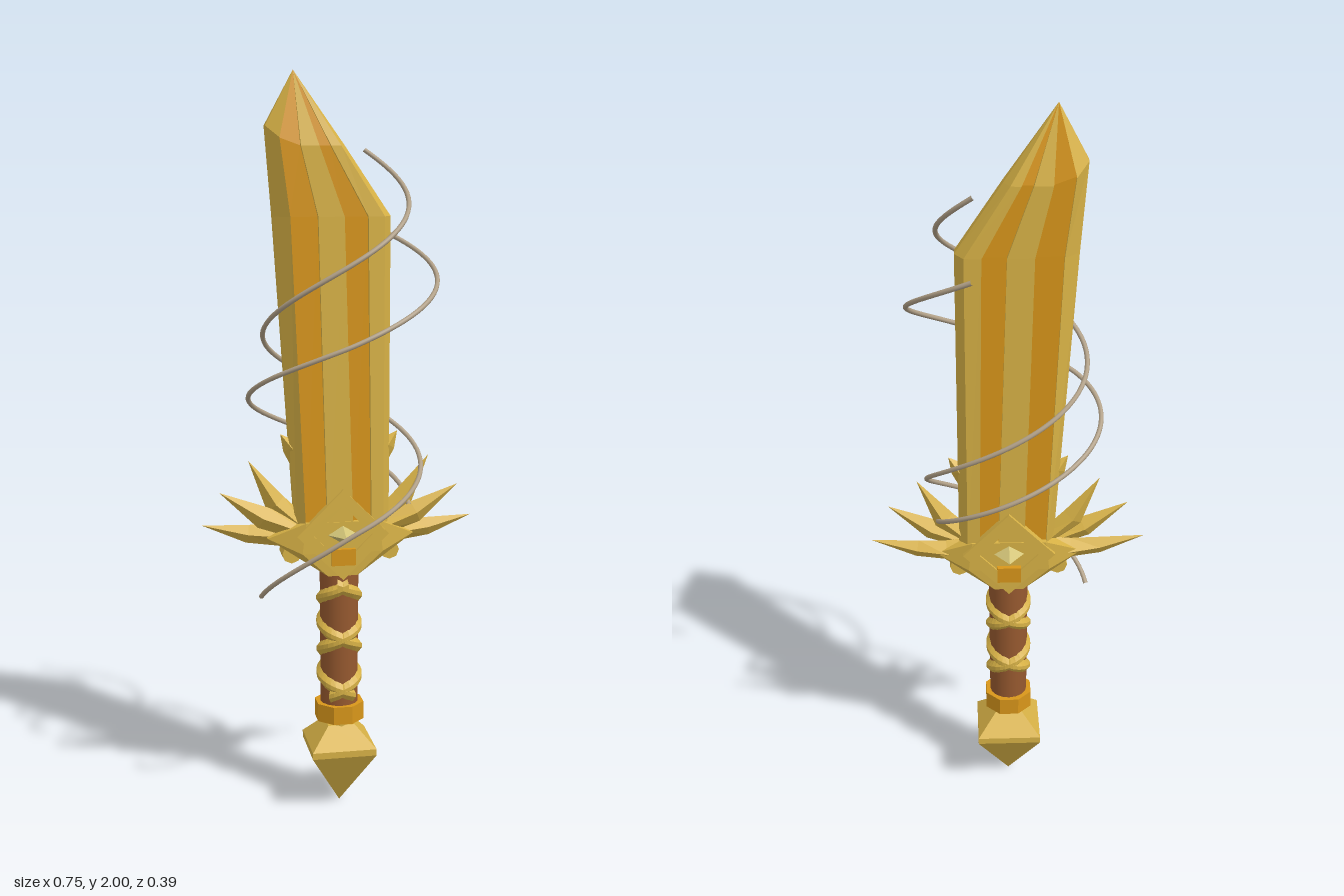
import * as THREE from 'three';
import { ConvexGeometry } from 'three/addons/geometries/ConvexGeometry.js';

const V = (x, y, z) => new THREE.Vector3(x, y, z);
const ZC = -0.012; // depth centre of the sword

// Faceted copy of a geometry
function facet(g) {
  const f = g.index ? g.toNonIndexed() : g;
  f.computeVertexNormals();
  return f;
}

// Flat-shaded geometry from a list of quads (four points each)
function fromQuads(quads) {
  const p = [];
  for (const [a, b, c, d] of quads) for (const v of [a, b, c, a, c, d]) p.push(v.x, v.y, v.z);
  const g = new THREE.BufferGeometry();
  g.setAttribute('position', new THREE.Float32BufferAttribute(p, 3));
  g.computeVertexNormals();
  return g;
}

// Skin over closed rings of equal size, counter-clockwise about the path
function loft(rings) {
  const quads = [], n = rings[0].length;
  for (let r = 0; r < rings.length - 1; r++)
    for (let k = 0; k < n; k++) {
      const m = (k + 1) % n;
      quads.push([rings[r][k], rings[r][m], rings[r + 1][m], rings[r + 1][k]]);
    }
  return fromQuads(quads);
}

// Diamond-section spike along a path of [x, y, half width, half depth]
function spikeGeometry(path, side, z) {
  const pts = path.map(([x, y]) => V(side * x, y, z));
  return loft(path.map(([, , w, t], i) => {
    const dir = pts[Math.min(i + 1, pts.length - 1)].clone().sub(pts[Math.max(i - 1, 0)]).normalize();
    const n = V(-dir.y, dir.x, 0);
    return [V(n.x * w, n.y * w, 0), V(0, 0, t), V(-n.x * w, -n.y * w, 0), V(0, 0, -t)].map(o => o.add(pts[i]));
  }));
}

// Ridged ribbon wound round the grip; dir +1 or -1 sets the hand
function wrapGeometry(dir) {
  const rings = [];
  for (let i = 0; i <= 56; i++) {
    const y = 0.325 + 0.315 * i / 56, a = dir * (y - 0.34) / 0.147 * Math.PI * 2;
    const ring = [[0.049, -0.024], [0.063, -0.006], [0.063, 0.006], [0.049, 0.024]]
      .map(([r, h]) => V(r * Math.sin(a), y + h, ZC + r * Math.cos(a)));
    rings.push(dir > 0 ? ring.reverse() : ring);
  }
  return loft(rings);
}

// Thin tube following at(t)
function vineGeometry(at) {
  const pts = [];
  for (let i = 0; i <= 60; i++) pts.push(at(i / 60));
  return new THREE.TubeGeometry(new THREE.CatmullRomCurve3(pts), 120, 0.0065, 8);
}

export function createModel() {
  const group = new THREE.Group();
  const material = (name, color) => {
    const m = new THREE.MeshStandardMaterial({ color });
    m.name = name;
    return m;
  };
  const gold = material('gold', 0xd8b246);
  const amber = material('amber', 0xd8961a);
  const leather = material('leather', 0x96592f);
  const vine = material('vine', 0xb3a289);
  const paleGold = material('paleGold', 0xd2c478);
  const add = (name, geometry, mat, x = 0, y = 0, z = 0) => {
    const mesh = new THREE.Mesh(geometry, mat);
    mesh.name = name;
    mesh.position.set(x, y, z);
    group.add(mesh);
    return mesh;
  };

  // Blade columns: x at guard, kink and shoulder, shoulder height, half depth
  const columns = [
    [-0.12, -0.177, -0.195, 1.86, 0.014],
    [-0.098, -0.137, -0.163, 1.83, 0.055],
    [-0.098, -0.137, -0.163, 1.83, 0.043],
    [-0.04, -0.064, -0.108, 1.81, 0.043],
    [-0.04, -0.064, -0.108, 1.81, 0.055],
    [0.03, 0.005, -0.06, 1.81, 0.055],
    [0.03, 0.005, -0.06, 1.81, 0.043],
    [0.08, 0.068, -0.03, 1.81, 0.043],
    [0.08, 0.068, -0.03, 1.81, 0.055],
    [0.112, 0.112, -0.003, 1.81, 0.052],
    [0.135, 0.135, 0.013, 1.81, 0.014],
  ];
  const at = (r, c, s) => {
    const [x0, x1, x2, y2, d] = columns[c];
    return V([x0, x1, x2, -0.12][r], [0.76, 1.63, y2, 2][r], ZC + s * d * [1, 1, 0.93, 0][r]);
  };
  const goldQuads = [], amberQuads = [], last = columns.length - 1;
  for (let r = 0; r < 3; r++) {
    for (let c = 0; c < last; c++) {
      const list = c === 2 || c === 6 ? amberQuads : goldQuads;
      list.push([at(r, c, 1), at(r, c + 1, 1), at(r + 1, c + 1, 1), at(r + 1, c, 1)]);
      list.push([at(r, c + 1, -1), at(r, c, -1), at(r + 1, c, -1), at(r + 1, c + 1, -1)]);
    }
    goldQuads.push([at(r, last, 1), at(r, last, -1), at(r + 1, last, -1), at(r + 1, last, 1)]);
    goldQuads.push([at(r, 0, -1), at(r, 0, 1), at(r + 1, 0, 1), at(r + 1, 0, -1)]);
  }
  add('blade', fromQuads(goldQuads), gold);
  add('bladeFullers', fromQuads(amberQuads), amber);

  // Guard core
  const core = [];
  for (const s of [-1, 1])
    for (const z of [-1, 1])
      core.push(V(s * 0.11, 0.735, z * 0.058), V(s * 0.1, 0.82, z * 0.058), V(s * 0.2, 0.775, z * 0.028), V(s * 0.04, 0.67, z * 0.055));
  add('guardCore', facet(new ConvexGeometry(core)), gold, 0, 0, ZC);

  // Diamond frame with an open middle
  const diamond = (Shape, w, h) => {
    const s = new Shape();
    s.moveTo(0, -h); s.lineTo(w, 0); s.lineTo(0, h); s.lineTo(-w, 0); s.closePath();
    return s;
  };
  const frame = diamond(THREE.Shape, 0.125, 0.125);
  frame.holes.push(diamond(THREE.Path, 0.08, 0.08));
  add('guardFrame', new THREE.ExtrudeGeometry(frame, { depth: 0.13, bevelEnabled: false }), gold, 0, 0.785, ZC - 0.065);

  // Gem and the amber block beneath it
  const gem = add('gem', new THREE.OctahedronGeometry(1, 0), paleGold, 0, 0.785, ZC);
  gem.scale.set(0.085, 0.052, 0.111);
  add('guardBlock', new THREE.BoxGeometry(0.065, 0.045, 0.145), amber, 0, 0.725, ZC);

  // Guard spikes, scrolls and blade barbs, mirrored
  for (const s of [-1, 1]) {
    const side = s > 0 ? 'left' : 'right';
    add(side + 'LongSpike', spikeGeometry([[0.08, 0.785, 0.03, 0.03], [0.17, 0.775, 0.03, 0.028], [0.25, 0.782, 0.025, 0.018], [0.373, 0.81, 0, 0]], s, -0.024), gold);
    add(side + 'MiddleSpike', spikeGeometry([[0.08, 0.78, 0.025, 0.025], [0.21, 0.83, 0.031, 0.022], [0.327, 0.903, 0, 0]], s, -0.002), gold);
    add(side + 'UpperSpike', spikeGeometry([[0.08, 0.78, 0.025, 0.025], [0.175, 0.865, 0.03, 0.022], [0.247, 0.985, 0, 0]], s, ZC), gold);
    const scroll = add(side + 'Scroll', facet(new THREE.CylinderGeometry(0.026, 0.026, 0.06, 8)), gold, s * 0.135, 0.73, ZC);
    scroll.rotation.x = Math.PI / 2;
    add(side + 'Barb', spikeGeometry([[0.11, 0.98, 0.025, 0.025], [0.132, 1.02, 0.024, 0.022], [0.16, 1.055, 0, 0]], s, ZC), gold);
  }

  // Grip with two crossing wraps
  add('grip', new THREE.CylinderGeometry(0.054, 0.052, 0.4, 16), leather, 0, 0.48, ZC);
  add('gripWrapRising', wrapGeometry(1), gold);
  add('gripWrapFalling', wrapGeometry(-1), gold);

  // Collar and pommel
  add('collar', facet(new THREE.CylinderGeometry(0.069, 0.069, 0.05, 8)), amber, 0, 0.272, ZC).rotation.y = Math.PI / 8;
  add('collarNeck', new THREE.CylinderGeometry(0.04, 0.04, 0.03, 12), gold, 0, 0.24, ZC);
  const profile = [[0, 0], [0.089, 0.16], [0.089, 0.178], [0.037, 0.235], [0, 0.235]]
    .map(([r, y]) => new THREE.Vector2(r * Math.SQRT2, y));
  add('pommel', facet(new THREE.LatheGeometry(profile, 4, Math.PI / 4)), gold, 0, 0, ZC);

  // Two thin vines winding round the blade
  const lowVine = t => {
    const y = 0.62 + 1.18 * t, a = (y - 0.81) / (y < 0.81 ? 0.215 : 0.175) * Math.PI / 2;
    return V((0.225 - 0.055 * t * t) * Math.sin(a), y, (0.172 - 0.045 * t * t) * Math.cos(a));
  };
  const highVine = t => {
    const y = 0.85 + 0.76 * t, a = (y - 1.31) / (y < 1.31 ? 0.152 : 0.17) * Math.PI / 2;
    return V((0.19 + 0.07 * Math.min(1, t * 2)) * Math.sin(a), y, 0.187 * Math.cos(a));
  };
  add('lowVine', vineGeometry(lowVine), vine);
  add('highVine', vineGeometry(highVine), vine);

  return group;
}
